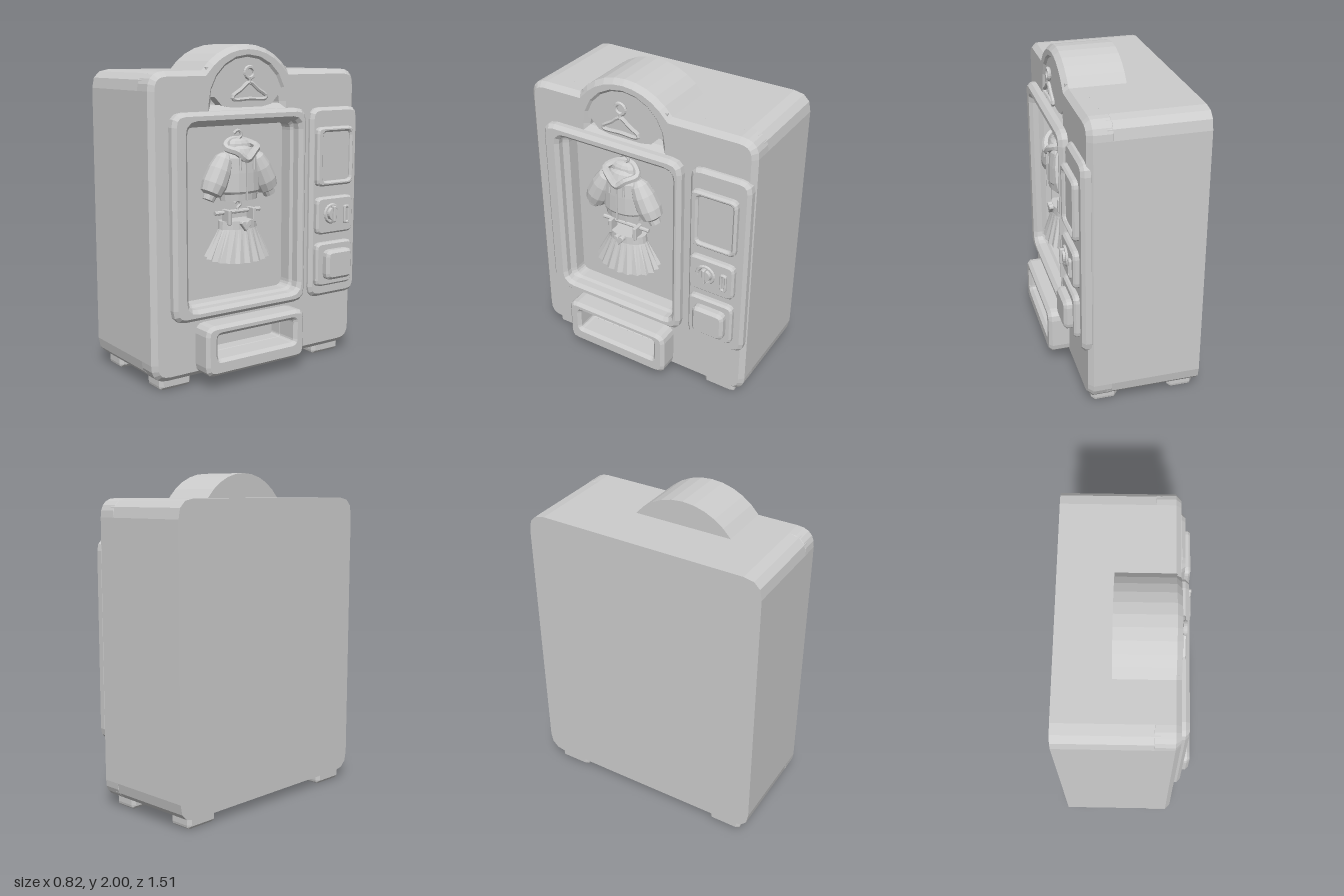
import * as THREE from 'three';

const grey = new THREE.MeshStandardMaterial({ color: 0xcccccc, flatShading: true });
grey.name = 'light grey';

const V = (x, y, z) => new THREE.Vector3(x, y, z);

function add(parent, name, geometry) {
  const mesh = new THREE.Mesh(geometry, grey);
  mesh.name = name;
  parent.add(mesh);
  return mesh;
}

// Rounded rectangle given by its limits
function roundRect(x0, x1, y0, y1, r, Type = THREE.Shape) {
  const s = new Type();
  s.moveTo(x0 + r, y0);
  s.lineTo(x1 - r, y0);
  s.quadraticCurveTo(x1, y0, x1, y0 + r);
  s.lineTo(x1, y1 - r);
  s.quadraticCurveTo(x1, y1, x1 - r, y1);
  s.lineTo(x0 + r, y1);
  s.quadraticCurveTo(x0, y1, x0, y1 - r);
  s.lineTo(x0, y0 + r);
  s.quadraticCurveTo(x0, y0, x0 + r, y0);
  return s;
}

// Extrusion from z0 to z1 with a chamfer b kept inside the outline
function slab(shape, z0, z1, b = 0, segments = 3) {
  return new THREE.ExtrudeGeometry(shape, {
    depth: z1 - z0 - 2 * b, curveSegments: segments, bevelEnabled: b > 0,
    bevelThickness: b, bevelSize: b, bevelOffset: -b, bevelSegments: 1,
  }).translate(0, 0, z0 + b);
}

function plate(parent, name, [x0, x1, y0, y1], z0, z1, r, b, hole) {
  const s = roundRect(x0, x1, y0, y1, r);
  if (hole) s.holes.push(roundRect(...hole, THREE.Path));
  return add(parent, name, slab(s, z0, z1, b));
}

function tube(parent, name, points, radius, closed = false, segments = 24) {
  const curve = new THREE.CatmullRomCurve3(points, closed);
  return add(parent, name, new THREE.TubeGeometry(curve, segments, radius, 6, closed));
}

function lathe(points, sides) {
  return new THREE.LatheGeometry(points.map(p => new THREE.Vector2(...p)), sides);
}

const ARCH = { x: -0.09, y: 1.605, r: 0.395, a: 0.902 };

function archTo(s) {
  s.absarc(ARCH.x, ARCH.y, ARCH.r, Math.PI / 2 - ARCH.a, Math.PI / 2 + ARCH.a, false);
}

function buildCabinet(g) {
  // Solid rear block; its front face is the back wall of the recesses
  add(g, 'cabinetBody', slab(roundRect(-0.755, 0.755, 0.06, 1.85, 0.11), -0.41, 0.17));

  // Front panel with arched top, window, sign and tray openings
  const w = 0.755, r = 0.11, b = 0.06, t = 1.85;
  const s = new THREE.Shape();
  s.moveTo(-w + r, b);
  s.lineTo(w - r, b);
  s.quadraticCurveTo(w, b, w, b + r);
  s.lineTo(w, t - r);
  s.quadraticCurveTo(w, t, w - r, t);
  archTo(s);
  s.lineTo(-w + r, t);
  s.quadraticCurveTo(-w, t, -w, t - r);
  s.lineTo(-w, b + r);
  s.quadraticCurveTo(-w, b, -w + r, b);
  s.holes.push(roundRect(-0.51, 0.25, 0.49, 1.53, 0.05, THREE.Path));
  s.holes.push(roundRect(-0.39, 0.18, 0.18, 0.33, 0.02, THREE.Path));
  const sign = new THREE.Path();
  sign.moveTo(ARCH.x - 0.25, 1.65);
  sign.lineTo(ARCH.x + 0.25, 1.65);
  sign.absarc(ARCH.x, 1.66, 0.25, 0, Math.PI, false);
  s.holes.push(sign);
  add(g, 'frontPanel', slab(s, 0.11, 0.28, 0.03, 5));

  // Rounded hood behind the arch
  const dome = new THREE.Shape();
  dome.moveTo(-0.4, 1.7);
  dome.lineTo(0.22, 1.7);
  archTo(dome);
  add(g, 'archHood', slab(dome, -0.09, 0.17, 0, 5));
  plate(g, 'signPanel', [-0.38, 0.2, 1.62, 1.95], 0.2, 0.266, 0.25, 0);

  // Window frame
  plate(g, 'windowFrame', [-0.64, 0.32, 0.41, 1.62], 0.24, 0.335, 0.08, 0.022,
    [-0.538, 0.265, 0.475, 1.55, 0.06]);

  // Collection tray
  plate(g, 'collectionTray', [-0.47, 0.255, 0.08, 0.385], 0.24, 0.41, 0.06, 0.02,
    [-0.388, 0.178, 0.18, 0.325, 0.02]);

  // Feet
  for (const [x0, x1] of [[-0.69, -0.475], [0.465, 0.68]])
    for (const [z0, z1] of [[-0.4, -0.24], [0.085, 0.245]])
      plate(g, 'foot', [x0, x1, 0, 0.1], z0, z1, 0.025, 0.02);
}

function buildControls(g) {
  plate(g, 'controlPanel', [0.37, 0.75, 0.41, 1.615], 0.24, 0.315, 0.07, 0.02);
  // Display with raised rim
  plate(g, 'displayRim', [0.395, 0.69, 1.125, 1.495], 0.28, 0.35, 0.04, 0.012,
    [0.442, 0.663, 1.157, 1.463, 0.025]);
  plate(g, 'display', [0.43, 0.675, 1.14, 1.48], 0.28, 0.33, 0.02, 0);
  // Coin knob and slot
  plate(g, 'coinPlate', [0.395, 0.69, 0.82, 1.055], 0.28, 0.35, 0.04, 0.012);
  const ring = add(g, 'knobRing', new THREE.TorusGeometry(0.053, 0.012, 6, 20));
  ring.position.set(0.51, 0.95, 0.352);
  const knob = add(g, 'knob', new THREE.CylinderGeometry(0.038, 0.042, 0.03, 20));
  knob.rotation.x = Math.PI / 2;
  knob.position.set(0.51, 0.95, 0.36);
  plate(g, 'knobGrip', [0.499, 0.521, 0.9, 1.0], 0.35, 0.388, 0.008, 0.004);
  plate(g, 'coinSlot', [0.608, 0.65, 0.875, 0.995], 0.34, 0.365, 0.015, 0.005,
    [0.621, 0.637, 0.892, 0.978, 0.006]);
  // Push button
  plate(g, 'buttonPlate', [0.395, 0.69, 0.485, 0.765], 0.28, 0.35, 0.04, 0.012);
  plate(g, 'button', [0.445, 0.655, 0.53, 0.72], 0.33, 0.4, 0.04, 0.018);
}

// Coat hanger sign in the arch
function buildSign(g) {
  const x = -0.095, z = 0.298;
  const ring = add(g, 'signRing', new THREE.TorusGeometry(0.032, 0.012, 6, 18));
  ring.position.set(x, 1.836, z);
  tube(g, 'signHanger', [V(x, 1.78, z), V(x - 0.06, 1.74, z), V(x - 0.12, 1.7, z), V(x - 0.115, 1.685, z),
    V(x, 1.685, z), V(x + 0.115, 1.685, z), V(x + 0.12, 1.7, z), V(x + 0.06, 1.74, z)], 0.012, true, 40);
  const stem = add(g, 'signStem', new THREE.CylinderGeometry(0.011, 0.011, 0.04, 6));
  stem.position.set(x, 1.79, z);
}

// Hook of a hanger, rising from y
function hook(g, y, size) {
  const p = [[0, 0], [0, 0.3], [0.35, 0.6], [0.3, 0.95], [0, 1.1], [-0.4, 0.85]];
  tube(g, 'hangerHook', p.map(([a, b]) => V(a * size, y + b * size, 0.22)), 0.009);
}

function buildJacket(g) {
  const torso = add(g, 'jacketTorso', lathe([[0, 1.085], [0.125, 1.085], [0.13, 1.125], [0.145, 1.14],
    [0.14, 1.25], [0.13, 1.34], [0.09, 1.39], [0.05, 1.41], [0, 1.41]], 16));
  torso.scale.z = 0.6;
  torso.position.z = 0.23;
  const zip = add(g, 'zip', new THREE.BoxGeometry(0.01, 0.22, 0.012));
  zip.position.set(0, 1.2, 0.315);
  // Hood
  const hood = add(g, 'hood', new THREE.SphereGeometry(0.1, 12, 8));
  hood.scale.set(1, 0.5, 0.5);
  hood.position.set(0, 1.4, 0.215);
  tube(g, 'hoodEdge', [V(0, 1.33, 0.315), V(-0.06, 1.375, 0.305), V(-0.11, 1.4, 0.26), V(-0.06, 1.43, 0.21),
    V(0, 1.44, 0.2), V(0.06, 1.43, 0.21), V(0.11, 1.4, 0.26), V(0.06, 1.375, 0.305)], 0.022, true, 32);
  for (const s of [-1, 1]) {
    const sleeve = add(g, 'sleeve', lathe([[0, 0], [0.036, 0], [0.04, 0.03], [0.066, 0.045],
      [0.077, 0.1], [0.072, 0.19], [0.055, 0.26], [0.03, 0.29], [0, 0.295]], 12));
    sleeve.position.set(s * 0.225, 1.1, 0.24);
    sleeve.rotation.z = s * 0.448;
    const cord = add(g, 'drawstring', new THREE.CylinderGeometry(0.006, 0.009, 0.09, 6));
    cord.position.set(s * 0.05, 1.315, 0.318);
  }
  hook(g, 1.42, 0.07);
}

function buildSkirt(g) {
  // Pleats: radius alternates around the rim, hem dips to the front
  const n = 40;
  const pleats = new THREE.CylinderGeometry(0.125, 0.225, 0.18, n, 1);
  const p = pleats.attributes.position;
  for (let i = 0; i < p.count; i++) {
    if (p.getY(i) > 0) continue;
    const step = Math.round((Math.atan2(p.getX(i), p.getZ(i)) / (2 * Math.PI)) * n + n) % 2;
    const k = step ? 0.91 : 1.0;
    p.setXYZ(i, p.getX(i) * k, p.getY(i) - 0.12 * p.getZ(i), p.getZ(i) * k);
  }
  const skirt = add(g, 'pleatedSkirt', pleats);
  skirt.scale.z = 0.6;
  skirt.position.set(0.005, 0.83, 0.21);
  const belt = add(g, 'belt', new THREE.CylinderGeometry(0.128, 0.132, 0.05, 20));
  belt.scale.z = 0.62;
  belt.position.set(0.005, 0.935, 0.21);
  // Heart shaped buckle
  const heart = new THREE.Shape();
  heart.moveTo(0, -0.035);
  heart.lineTo(0.035, 0.005);
  heart.absarc(0.018, 0.012, 0.018, 0, Math.PI, false);
  heart.absarc(-0.018, 0.012, 0.018, 0, Math.PI, false);
  add(g, 'buckle', slab(heart, 0.285, 0.315, 0.004)).position.y = 0.935;
  // Clip hanger
  const bar = add(g, 'clipBar', new THREE.CylinderGeometry(0.013, 0.013, 0.33, 8));
  bar.rotation.z = Math.PI / 2;
  bar.position.set(0, 1.01, 0.22);
  for (const s of [-1, 1])
    plate(g, 'clip', [s * 0.09 - 0.012, s * 0.09 + 0.012, 0.94, 1.03], 0.2, 0.275, 0.005, 0.004);
  hook(g, 1.015, 0.055);
}

export function createModel() {
  const model = new THREE.Group();
  model.name = 'clothesVendingMachine';
  const machine = new THREE.Group();
  machine.name = 'machine';
  machine.rotation.y = Math.PI / 2; // the display side looks along +x
  model.add(machine);
  buildCabinet(machine);
  buildControls(machine);
  buildSign(machine);
  for (const [name, build] of [['jacket', buildJacket], ['skirt', buildSkirt]]) {
    const outfit = new THREE.Group();
    outfit.name = name;
    outfit.position.x = -0.125;
    build(outfit);
    machine.add(outfit);
  }
  return model;
}
